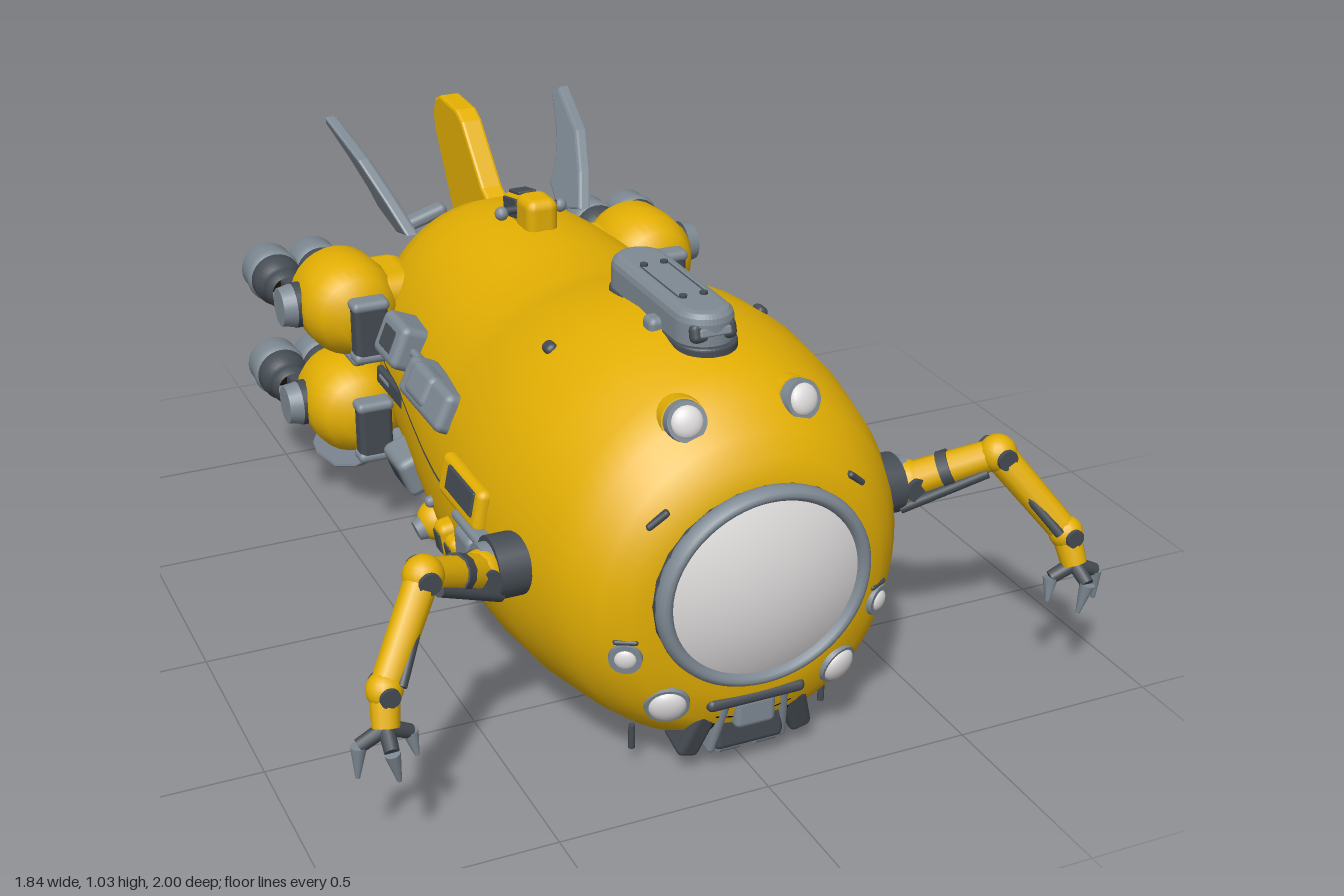
import * as THREE from 'three';
import { RoundedBoxGeometry } from 'three/addons/geometries/RoundedBoxGeometry.js';

const paint = (name, color) => Object.assign(new THREE.MeshStandardMaterial({ color }), { name });
const V = (x, y, z) => new THREE.Vector3(x, y, z);

// Hull cross-sections, nose to tail: z, half width, top, bottom, height of widest line
const SECTIONS = [
  [0.945, 0.002, 0.472, 0.468, 0.47], [0.935, 0.24, 0.71, 0.21, 0.47], [0.915, 0.305, 0.765, 0.13, 0.46],
  [0.88, 0.352, 0.812, 0.085, 0.45], [0.82, 0.397, 0.865, 0.052, 0.45], [0.75, 0.424, 0.908, 0.037, 0.45],
  [0.6, 0.458, 0.94, 0.018, 0.44], [0.45, 0.474, 0.95, 0.01, 0.44], [0.3, 0.472, 0.935, 0.006, 0.44],
  [0.15, 0.457, 0.895, 0.006, 0.44], [0.03, 0.44, 0.865, 0.01, 0.44], [-0.15, 0.41, 0.865, 0.025, 0.44],
  [-0.3, 0.386, 0.87, 0.05, 0.45], [-0.45, 0.368, 0.865, 0.1, 0.45], [-0.58, 0.345, 0.85, 0.17, 0.46],
  [-0.68, 0.31, 0.81, 0.24, 0.48], [-0.74, 0.25, 0.76, 0.28, 0.5], [-0.775, 0.19, 0.7, 0.31, 0.5],
  [-0.785, 0.002, 0.502, 0.498, 0.5],
];

function sectionAt(z) {
  let i = 0;
  while (i < SECTIONS.length - 2 && SECTIONS[i + 1][0] > z) i++;
  const a = SECTIONS[i], b = SECTIONS[i + 1], t = (a[0] - z) / (a[0] - b[0]);
  return a.map((v, k) => v + (b[k] - v) * t);
}

// Skin of the hull over the given stations and angles (0 = +x, quarter turn = up)
function skin(zs, angles, closed, lift = 0) {
  const pos = [], idx = [], n = angles.length;
  for (const z of zs) {
    const [, w, top, bot, mid] = sectionAt(z);
    for (const a of angles) {
      const c = Math.cos(a), s = Math.sin(a), p = s < 0 ? 0.94 : 1;
      pos.push((1 + lift) * w * Math.sign(c) * Math.abs(c) ** p,
        mid + (1 + lift) * (s > 0 ? top - mid : mid - bot) * Math.sign(s) * Math.abs(s) ** p, z);
    }
  }
  for (let i = 0; i < zs.length - 1; i++) for (let j = 0; j < (closed ? n : n - 1); j++) {
    const k = (j + 1) % n, a = i * n + j, b = a + n, c = i * n + k, d = c + n;
    idx.push(a, b, c, b, d, c);
  }
  const g = new THREE.BufferGeometry();
  g.setAttribute('position', new THREE.Float32BufferAttribute(pos, 3));
  g.setIndex(idx);
  g.computeVertexNormals();
  return g;
}
const steps = (a, b, n) => Array.from({ length: n + 1 }, (_, i) => a + (b - a) * i / n);

export function createModel() {
  const root = new THREE.Group();
  root.name = 'submersible';
  const yellow = paint('hull yellow', 0xe3af03), grey = paint('metal grey', 0x7f8a94);
  const dark = paint('dark metal', 0x454c53), black = paint('belly black', 0x14110a);
  const glass = paint('pale glass', 0xdedbdb), brown = paint('worn brown', 0x3c2e14);
  const olive = paint('hatch olive', 0x5a4a24);

  const add = (name, geo, mat, p = [0, 0, 0], r = [0, 0, 0]) => {
    const m = new THREE.Mesh(geo, mat);
    m.name = name;
    m.position.set(...p);
    m.rotation.set(...r);
    root.add(m);
    return m;
  };
  const pair = (name, geo, mat, p, r = [0, 0, 0]) => {
    for (const s of [1, -1]) add(name, geo, mat, [s * p[0], p[1], p[2]], [r[0], s * r[1], s * r[2]]);
  };
  const box = (x, y, z, r = 0.015) => new RoundedBoxGeometry(x, y, z, 2, Math.min(r, x / 2.1, y / 2.1, z / 2.1));
  const cyl = (r0, r1, h, n = 24) => new THREE.CylinderGeometry(r0, r1, h, n);
  const zCyl = (r0, r1, h) => cyl(r0, r1, h).rotateX(Math.PI / 2);
  const xCyl = (r0, r1, h) => cyl(r0, r1, h).rotateZ(-Math.PI / 2);
  const rod = (name, a, b, r0, r1, mat) => {
    const m = add(name, cyl(r1, r0, a.distanceTo(b), 12), mat, a.clone().add(b).multiplyScalar(0.5).toArray());
    m.quaternion.setFromUnitVectors(V(0, 1, 0), b.clone().sub(a).normalize());
  };
  // Seats a fitting on both flanks, its local +x pointing out of the hull
  const onSide = (name, geo, mat, z, y, out = 0) => {
    const [, w, top, bot, mid] = sectionAt(z), h = y > mid ? top - mid : mid - bot;
    const a = Math.asin((y - mid) / h), t = Math.atan2(Math.sin(a) / h, Math.cos(a) / w);
    for (const s of [1, -1]) add(name, geo, mat,
      [s * (w * Math.cos(a) + out * Math.cos(t)), y + out * Math.sin(t), z], [0, 0, s > 0 ? t : Math.PI - t]);
  };

  // Hull and belly panels
  add('hull', skin(SECTIONS.map(s => s[0]), steps(0, Math.PI * 2, 64).slice(0, 64), true), yellow);
  const down = -Math.PI / 2;
  const belly = (name, z0, z1, half, mat, lift) =>
    add(name, skin(steps(z0, z1, 16), steps(down - half, down + half, 14), false, lift), mat);
  belly('bellyWear', 0.36, -0.08, 0.36, brown, 0.005);
  belly('bellyPanelFront', 0.57, 0.46, 0.23, black, 0.008);
  belly('bellyPanel', 0.47, -0.1, 0.29, black, 0.009);
  belly('bellyPanelRear', -0.09, -0.2, 0.22, black, 0.008);
  belly('bellyHatch', 0.29, 0.17, 0.07, olive, 0.013);
  belly('chinPanel', 0.92, 0.66, 0.3, black, 0.012);
  for (const [a, b] of [[0.075, 0.09], [Math.PI - 0.09, Math.PI - 0.075]])
    add('sideSeam', skin(steps(0.22, -0.5, 12), steps(a, b, 2), false, 0.007), dark);

  // Front window, slightly wider than tall
  add('windowSeat', zCyl(0.255, 0.26, 0.05).scale(1, 0.92, 1), dark, [0, 0.48, 0.92]);
  add('windowRing', new THREE.TorusGeometry(0.238, 0.018, 12, 64).scale(1, 0.93, 1.4), grey, [0, 0.48, 0.947]);
  add('window', new THREE.SphereGeometry(0.585, 40, 10, 0, Math.PI * 2, 0, 0.395).rotateX(Math.PI / 2).scale(1, 0.93, 1),
    glass, [0, 0.48, 0.415]);

  // Headlights: housing, rim and lens
  for (const [x, y, z, r, ry, rx, lens] of [[0.135, 0.84, 0.82, 0.04, 0.15, -0.35, 0.9], [0.3, 0.355, 0.895, 0.033, 0.5, 0.1, 0.75],
    [0.205, 0.22, 0.9, 0.045, 0.3, 0.3, 0.95]]) {
    const dir = V(0, 0, 1).applyEuler(new THREE.Euler(rx, ry, 0));
    const at = d => V(x, y, z).addScaledVector(dir, d).toArray();
    pair('lightHousing', zCyl(r * 1.25, r * 1.7, 0.1), yellow, at(-0.055), [rx, ry, 0]);
    pair('lightRim', zCyl(r * 1.1, r * 1.2, 0.04), grey, at(0), [rx, ry, 0]);
    pair('lightLens', new THREE.SphereGeometry(r * lens, 20, 12).scale(1, 1, 0.5), glass, at(0.017), [rx, ry, 0]);
  }
  pair('lowerLightGuard', box(0.055, 0.012, 0.04), dark, [0.3, 0.393, 0.895], [0, 0.5, 0]);
  pair('browSlot', box(0.06, 0.016, 0.02), dark, [0.235, 0.67, 0.905], [0, 0.3, -0.7]);

  // Chin machinery
  add('chinFrame', box(0.24, 0.03, 0.08), dark, [0, 0.195, 0.9]);
  add('chinBlock', box(0.1, 0.075, 0.08), grey, [0, 0.155, 0.895]);
  add('chinGap', box(0.17, 0.15, 0.07), dark, [0, 0.13, 0.875]);
  add('chinPlate', box(0.18, 0.03, 0.08), dark, [0, 0.07, 0.86]);
  pair('chinStrut', box(0.022, 0.15, 0.07), grey, [0.08, 0.125, 0.88], [0.25, 0, 0.12]);
  pair('chinSide', box(0.055, 0.13, 0.09), dark, [0.125, 0.115, 0.86], [0.25, 0, 0.3]);
  pair('chinRoller', xCyl(0.022, 0.022, 0.05), grey, [0.045, 0.06, 0.88]);
  pair('chinProng', cyl(0.008, 0.008, 0.06, 8), dark, [0.24, 0.075, 0.8]);

  // Dorsal equipment
  const slot = (w, l) => {
    const s = new THREE.Shape();
    s.absarc(0, l / 2 - w, w, 0, Math.PI);
    s.absarc(0, w - l / 2, w, Math.PI, Math.PI * 2);
    return s;
  };
  const slab = (w, l, h, b) => new THREE.ExtrudeGeometry(slot(w, l), { depth: h, bevelSize: b, bevelThickness: b, bevelSegments: 3 })
    .rotateX(-Math.PI / 2);
  add('dorsalPodSeal', slab(0.068, 0.455, 0.02, 0.006), dark, [0, 0.91, 0.475]);
  add('dorsalPod', slab(0.043, 0.4, 0.055, 0.025), grey, [0, 0.93, 0.47]);
  for (const z of [0.38, 0.58]) pair('dorsalPodKnob', cyl(0.009, 0.009, 0.02, 12), dark, [0.025, 1.006, z]);
  pair('dorsalPodRib', box(0.006, 0.006, 0.2), dark, [0.034, 1.008, 0.48]);
  pair('dorsalPodLug', box(0.05, 0.04, 0.05), grey, [0.07, 0.94, 0.54]);
  add('dorsalPodNose', box(0.11, 0.045, 0.03), dark, [0, 0.965, 0.675], [-0.3, 0, 0]);
  add('dorsalPodGrille', box(0.075, 0.02, 0.03, 0.005), grey, [0, 0.965, 0.68], [-0.3, 0, 0]);
  add('mastBox', box(0.085, 0.1, 0.1, 0.025), yellow, [0, 0.895, -0.305]);
  add('mastRear', box(0.075, 0.08, 0.11), yellow, [0, 0.885, -0.385], [-0.2, 0, 0]);
  add('mastWindow', box(0.05, 0.01, 0.07, 0.004), dark, [0, 0.926, -0.4], [-0.2, 0, 0]);
  pair('mastSideWindow', box(0.008, 0.05, 0.09, 0.003), dark, [0.037, 0.892, -0.387], [-0.2, 0, 0]);
  add('mastBar', xCyl(0.01, 0.01, 0.17), dark, [0, 0.9, -0.345]);
  pair('mastKnob', new THREE.SphereGeometry(0.018, 12, 8), grey, [0.08, 0.895, -0.345]);
  onSide('roofCleat', box(0.025, 0.03, 0.04), dark, 0.4, 0.86);

  // Flank fittings: name, colour, z, y, thickness, height, length, offset
  for (const [name, mat, z, y, t, h, l, out] of [
    ['portFrame', yellow, 0.385, 0.535, 0.04, 0.105, 0.24, 0], ['portGlass', dark, 0.4, 0.545, 0.01, 0.06, 0.16, 0.02],
    ['toolBox', grey, 0.45, 0.415, 0.06, 0.12, 0.1, 0], ['toolRail', grey, 0.5, 0.485, 0.05, 0.025, 0.24, 0.01],
    ['smallBox', yellow, 0.365, 0.375, 0.06, 0.09, 0.06, 0.005], ['smallBox', yellow, 0.29, 0.375, 0.06, 0.09, 0.06, 0.005],
    ['smallBoxFace', dark, 0.365, 0.375, 0.01, 0.055, 0.038, 0.033], ['smallBoxFace', dark, 0.29, 0.375, 0.01, 0.055, 0.038, 0.033],
    ['longPanel', grey, 0.065, 0.622, 0.08, 0.1, 0.27, 0.012], ['longPanelCap', grey, 0.04, 0.628, 0.05, 0.085, 0.13, 0.04],
    ['upperBox', grey, -0.26, 0.62, 0.1, 0.115, 0.15, 0.02], ['upperBoxFace', dark, -0.26, 0.62, 0.01, 0.06, 0.08, 0.067],
    ['lowerBox', grey, -0.25, 0.295, 0.09, 0.11, 0.14, 0.01], ['lowerBoxFace', dark, -0.25, 0.295, 0.01, 0.06, 0.08, 0.052],
    ['panelPipe', grey, -0.14, 0.625, 0.025, 0.02, 0.14, 0.01], ['slotPlate', dark, -0.34, 0.46, 0.02, 0.05, 0.25, 0],
    ['slotPlateBar', grey, -0.4, 0.465, 0.03, 0.02, 0.08, 0.005], ['lowerSlat', grey, 0.035, 0.18, 0.025, 0.02, 0.13, 0],
    ['lowerBlister', yellow, -0.325, 0.145, 0.05, 0.09, 0.15, 0],
  ]) onSide(name, box(t, h, l, 0.02), mat, z, y, out);
  onSide('sensorBall', new THREE.SphereGeometry(0.052, 20, 14), yellow, 0.06, 0.295);
  onSide('sensorCap', xCyl(0.025, 0.035, 0.03), grey, 0.06, 0.295, 0.045);
  onSide('sensorLug', box(0.04, 0.03, 0.03), grey, 0.1, 0.37);

  // Four thruster pods with twin nozzles
  const lathe = pts => new THREE.LatheGeometry(pts.map(p => new THREE.Vector2(...p)), 28).rotateX(-Math.PI / 2);
  const podGeo = lathe([[0, 0], [0.06, 0.005], [0.1, 0.035], [0.125, 0.085], [0.13, 0.15], [0.125, 0.23], [0.1, 0.28], [0.06, 0.3], [0, 0.305]]);
  const neckGeo = lathe([[0.042, 0], [0.055, 0.02], [0.046, 0.045], [0.05, 0.06], [0.066, 0.075], [0.068, 0.11], [0.062, 0.115]]);
  const bellGeo = lathe([[0.062, 0.108], [0.07, 0.115], [0.074, 0.13], [0.07, 0.15], [0.07, 0.2], [0.056, 0.2]]);
  const boreGeo = lathe([[0.056, 0.2], [0.048, 0.13], [0, 0.125]]);
  for (const y of [0.62, 0.34]) {
    pair('thrusterPod', podGeo, yellow, [0.425, y, -0.445]);
    pair('podMount', box(0.2, 0.16, 0.22, 0.05), yellow, [0.33, y, -0.6]);
    pair('podCollar', xCyl(0.06, 0.06, 0.04), dark, [0.54, y, -0.62]);
    for (const s of [1, -1]) add('podHub', xCyl(0.05, 0.06, 0.045), grey, [s * 0.573, y, -0.62], [0, 0, s > 0 ? 0 : Math.PI]);
    pair('podClamp', box(0.09, 0.16, 0.055), dark, [0.42, y - 0.01, -0.41]);
    pair('podClampPad', box(0.1, 0.03, 0.06), grey, [0.42, y + 0.06, -0.41]);
    pair('podClampPad', box(0.1, 0.03, 0.06), grey, [0.42, y - 0.08, -0.41]);
    pair('nozzleMount', box(0.17, 0.07, 0.08), dark, [0.46, y - 0.015, -0.75]);
    for (const x of [0.41, 0.535]) {
      pair('nozzleNeck', neckGeo, dark, [x, y - 0.015, -0.745]);
      pair('nozzleBell', bellGeo, grey, [x, y - 0.015, -0.745]);
      pair('nozzleBore', boreGeo, black, [x, y - 0.015, -0.745]);
    }
  }
  pair('podBrace', box(0.04, 0.025, 0.2), grey, [0.42, 0.48, -0.6]);

  // Stern jets and hatch
  for (const [x, y] of [[0.125, 0.625], [0.135, 0.5]]) {
    pair('sternJet', lathe([[0.055, 0], [0.05, 0.05], [0.048, 0.062], [0.034, 0.062], [0.03, 0.05], [0, 0.05]]), grey, [x, y, -0.738]);
    pair('sternJetCore', zCyl(0.03, 0.03, 0.006), black, [x, y, -0.791]);
  }
  add('sternHatchFrame', box(0.27, 0.14, 0.04), grey, [0, 0.37, -0.765], [-0.2, 0, 0]);
  add('sternHatch', box(0.22, 0.1, 0.02), glass, [0, 0.368, -0.78], [-0.2, 0, 0]);

  // Fins: outline in (z, y), thickness, sideways lean
  const fin = (name, pts, t, mat, y0, x0, lean) => {
    const b = 0.008, g = new THREE.ExtrudeGeometry(new THREE.Shape(pts.map(p => new THREE.Vector2(...p))),
      { depth: t - 2 * b, bevelSize: b, bevelThickness: b, bevelSegments: 2 });
    g.translate(0, 0, b - t / 2).rotateY(-Math.PI / 2);
    const p = g.attributes.position;
    for (let i = 0; i < p.count; i++) p.setX(i, p.getX(i) + x0 + lean * (p.getY(i) - y0));
    g.computeVertexNormals();
    add(name, g, mat);
  };
  fin('tailFin', [[-0.5, 0.8], [-0.62, 0.86], [-0.76, 1.0], [-0.8, 1.02], [-0.92, 1.025], [-0.955, 1.01], [-0.97, 0.97], [-0.96, 0.93], [-0.8, 0.68], [-0.7, 0.66]],
    0.06, yellow, 0, 0, 0);
  for (const s of [1, -1]) {
    fin('upperFin', [[-0.57, 0.79], [-0.64, 0.86], [-0.74, 0.94], [-0.92, 1.005], [-0.94, 0.99], [-0.84, 0.92], [-0.78, 0.85], [-0.77, 0.8], [-0.68, 0.76]],
      0.035, grey, 0.8, s * 0.25, s * 0.42);
    fin('lowerFin', [[-0.56, 0.2], [-0.63, 0.14], [-0.7, 0.085], [-0.8, 0.045], [-0.93, 0.028], [-0.98, 0.035], [-0.99, 0.06], [-0.96, 0.085], [-0.86, 0.105], [-0.81, 0.14], [-0.8, 0.18], [-0.7, 0.24]],
      0.035, grey, 0.18, s * 0.31, s * -0.66);
  }
  pair('lowerFinMount', box(0.06, 0.045, 0.2), grey, [0.315, 0.165, -0.7], [0, 0, 0.5]);
  pair('finFlange', box(0.14, 0.035, 0.05), grey, [0.15, 0.755, -0.755], [0, 0, -0.3]);

  // Manipulator arms
  for (const s of [1, -1]) {
    const P = (x, y, z) => V(s * x, y, z);
    const shoulder = P(0.53, 0.48, 0.65), elbow = P(0.7, 0.57, 0.76), wrist = P(0.83, 0.39, 0.87), palm = P(0.84, 0.32, 0.9);
    add('shoulderBase', xCyl(0.072, 0.072, 0.08), dark, [s * 0.465, 0.475, 0.63]);
    add('shoulderDisc', xCyl(0.06, 0.06, 0.1), grey, [s * 0.48, 0.475, 0.63]);
    rod('upperArm', shoulder, elbow, 0.044, 0.036, yellow);
    rod('upperArmPiston', P(0.5, 0.43, 0.68), P(0.67, 0.53, 0.77), 0.013, 0.013, dark);
    rod('forearm', elbow, wrist, 0.038, 0.034, yellow);
    rod('forearmPiston', P(0.72, 0.52, 0.8), P(0.8, 0.4, 0.89), 0.012, 0.012, dark);
    rod('palm', wrist, palm, 0.034, 0.03, yellow);
    for (const [p, r] of [[shoulder, 0.052], [elbow, 0.045], [wrist, 0.04]]) {
      add('armJoint', new THREE.SphereGeometry(r, 16, 12), yellow, p.toArray());
      add('jointPin', zCyl(r * 0.55, r * 0.55, r * 2.1), dark, p.toArray());
    }
    rod('armBand', P(0.595, 0.515, 0.692), P(0.615, 0.526, 0.705), 0.045, 0.045, dark);
    for (const [mx, mz, tx, ty, tz] of [[0.9, 0.9, 0.905, 0.215, 0.9], [0.785, 0.89, 0.775, 0.235, 0.9], [0.845, 0.95, 0.83, 0.215, 0.945]]) {
      const knuckle = P(mx, 0.29, mz);
      rod('finger', palm, knuckle, 0.018, 0.016, dark);
      rod('fingerTip', knuckle, P(tx, ty, tz), 0.018, 0.005, grey);
    }
  }
  return root;
}
